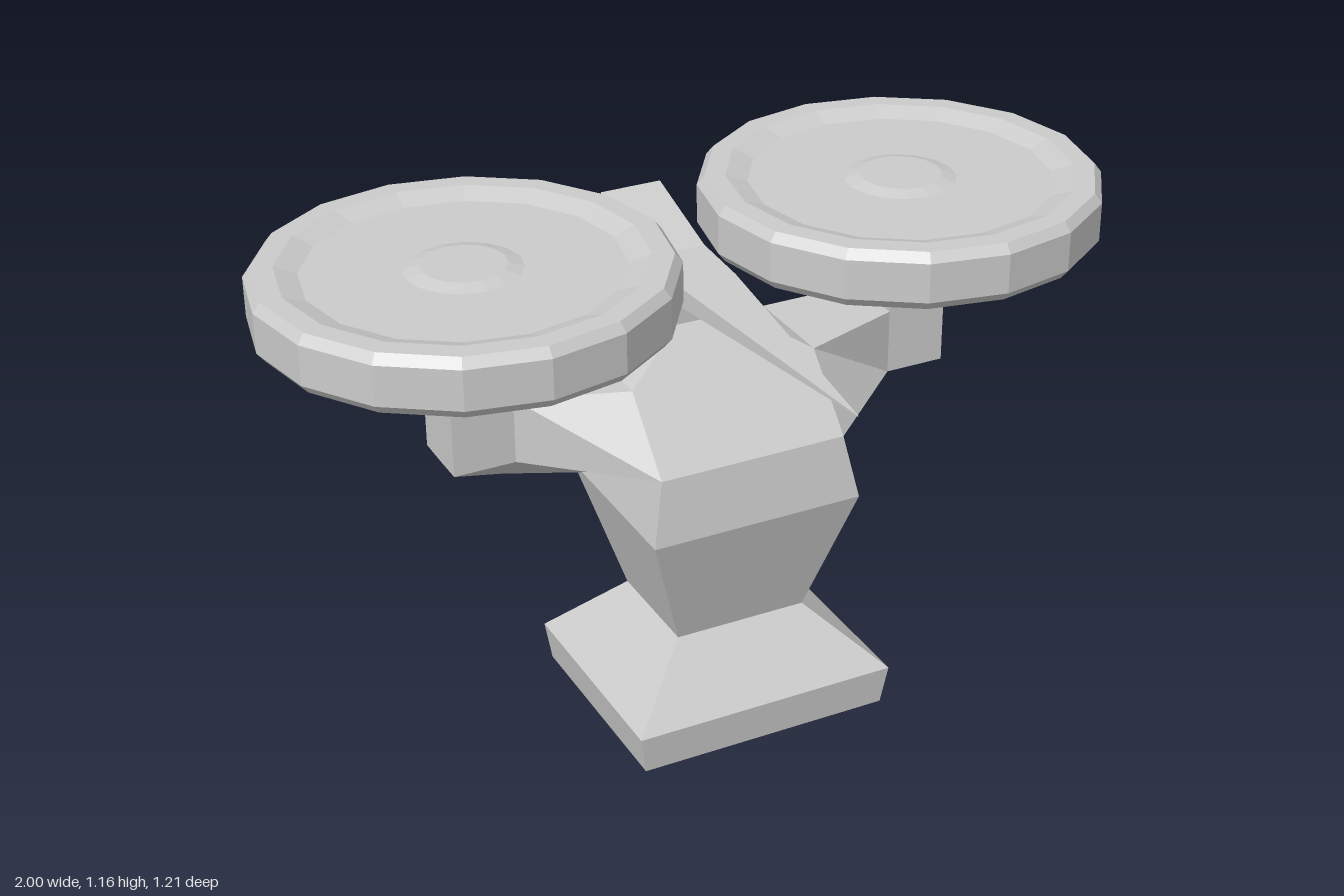
import * as THREE from 'three';

const material = new THREE.MeshStandardMaterial({ color: 0xcccccc, flatShading: true });

// Skins a stack of equal-length convex sections and closes both ends.
function loft(name, sections) {
  const pos = [];
  const tri = (a, b, c) => pos.push(...a, ...b, ...c);
  const n = sections[0].length;
  for (let s = 0; s < sections.length - 1; s++) {
    const a = sections[s], b = sections[s + 1];
    for (let i = 0; i < n; i++) {
      const j = (i + 1) % n;
      tri(a[i], a[j], b[j]);
      tri(a[i], b[j], b[i]);
    }
  }
  const first = sections[0], last = sections[sections.length - 1];
  for (let i = 1; i < n - 1; i++) {
    tri(first[0], first[i + 1], first[i]);
    tri(last[0], last[i], last[i + 1]);
  }
  const geometry = new THREE.BufferGeometry();
  geometry.setAttribute('position', new THREE.Float32BufferAttribute(pos, 3));
  geometry.computeVertexNormals();
  const mesh = new THREE.Mesh(geometry, material);
  mesh.name = name;
  return mesh;
}

// Pedestal, torso and neck: y, half width, front z, back corner z, back panel z
function createBody() {
  const levels = [
    [0, 0.305, 0.225, -0.297, -0.299],
    [0.095, 0.32, 0.235, -0.303, -0.355],
    [0.245, 0.16, 0.1, -0.17, -0.195],
    [0.55, 0.255, 0.185, -0.245, -0.285],
    [0.7, 0.225, 0.16, -0.228, -0.275],
    [0.855, 0.225, 0.018, -0.226, -0.244],
    [0.945, 0.075, -0.065, -0.224, -0.225],
    [1.0, 0.075, -0.065, -0.224, -0.225],
  ];
  return loft('body', levels.map(([y, w, front, corner, panel]) => [
    [-w, y, front], [w, y, front], [w, y, corner],
    [w * 0.35, y, panel], [-w * 0.35, y, panel], [-w, y, corner],
  ]));
}

// Wedge head: raised tail block and a long flat beak
function createHead() {
  const levels = [
    [-0.455, 0.075, 1.06, 1.11],
    [-0.228, 0.075, 0.99, 1.04],
    [-0.065, 0.07, 0.99, 1.037],
    [0.6, 0.001, 1.019, 1.021],
  ];
  return loft('head', levels.map(([z, w, low, high]) => [
    [-w, low, z], [w, low, z], [w, high, z], [-w, high, z],
  ]));
}

// Arm with a keel below: x, lower front z, upper front z, back z, keel y, keel z
function createArm(side) {
  const levels = [
    [0.1, 0.16, 0.018, -0.224, 0.63, -0.03],
    [0.225, 0.16, 0.018, -0.225, 0.63, -0.03],
    [0.47, -0.065, -0.065, -0.225, 0.63, -0.145],
    [0.615, -0.065, -0.065, -0.225, 0.699, -0.145],
  ];
  const sections = levels.map(([x, low, high, back, keelY, keelZ]) => {
    const ring = [[high, 0.855], [low, 0.7], [keelZ, keelY], [back, 0.7], [back, 0.855]]
      .map(([z, y]) => [side * x, y, z]);
    return side > 0 ? ring : ring.reverse();
  });
  return loft('arm', sections);
}

// Shallow dish with a bevelled rim, recessed faces and a raised centre
function createDish() {
  const top = [
    [0.465, 0.046], [0.448, 0.0675], [0.4, 0.0675], [0.35, 0.05],
    [0.13, 0.05], [0.095, 0.06], [0, 0.06],
  ];
  const bottom = top.map(([r, y]) => [r, -y]).reverse();
  const profile = [...bottom, ...top].map(([r, y]) => new THREE.Vector2(r, y));
  const dish = new THREE.Mesh(new THREE.LatheGeometry(profile, 16), material);
  dish.name = 'dish';
  return dish;
}

export function createModel() {
  const model = new THREE.Group();
  model.name = 'dishBearer';
  model.add(createBody(), createHead());

  for (const side of [1, -1]) {
    const limb = new THREE.Group();
    limb.name = side > 0 ? 'leftLimb' : 'rightLimb';

    // Upright forearm under the dish
    const forearm = new THREE.Mesh(new THREE.BoxGeometry(0.145, 0.21, 0.16), material);
    forearm.name = 'forearm';
    forearm.position.set(side * 0.5425, 0.95, -0.145);

    const dish = createDish();
    dish.position.set(side * 0.535, 1.0975, -0.148);

    limb.add(createArm(side), forearm, dish);
    model.add(limb);
  }
  return model;
}
